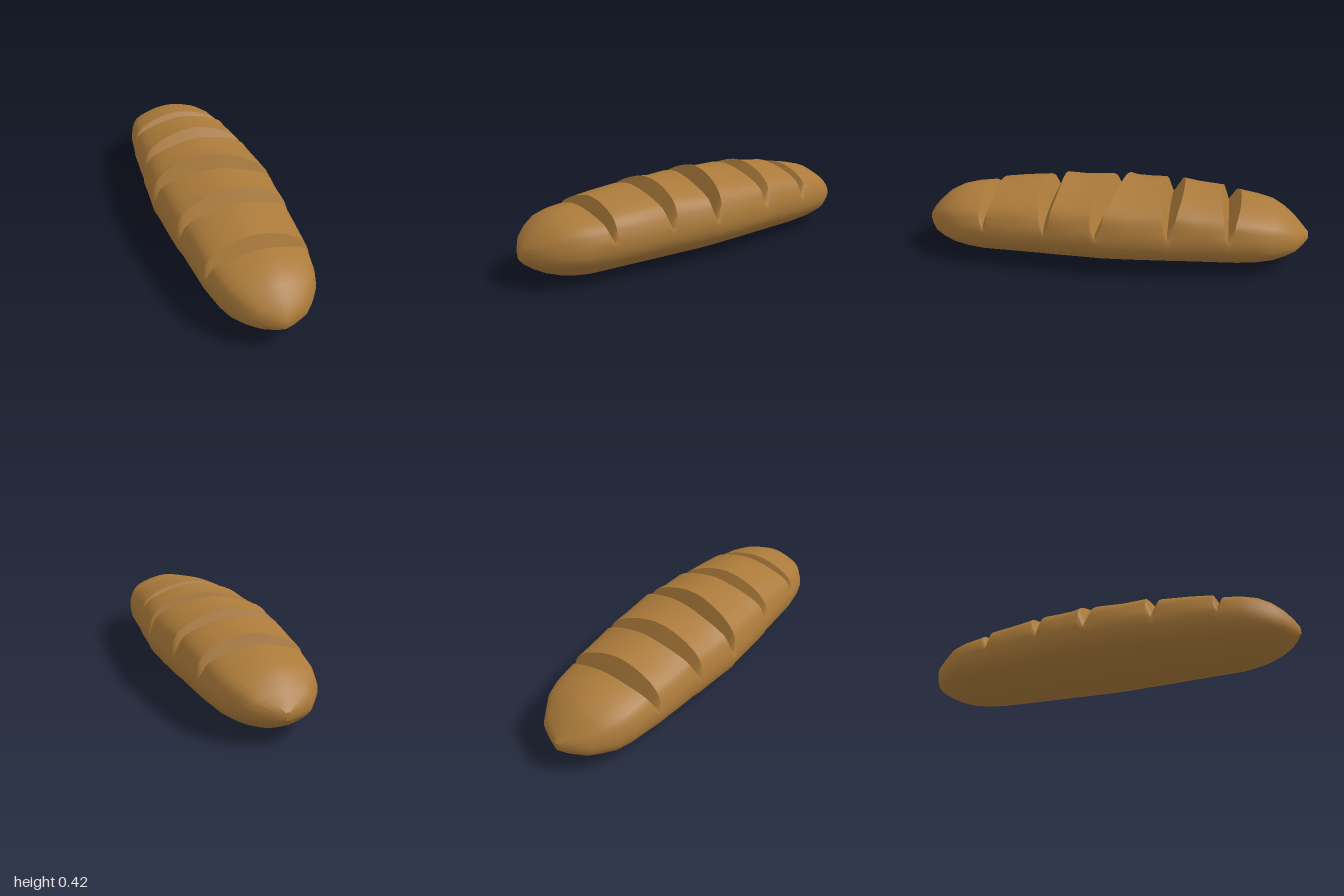
import * as THREE from 'three';
import { toCreasedNormals } from 'three/addons/utils/BufferGeometryUtils.js';

const crust = new THREE.MeshStandardMaterial({ color: 0xab7a3a });
crust.name = 'golden crust';

// Stations along the loaf: z, top height, and for slash edges the slash centre z
const stations = [
  [-1, 0.17], [-0.97, 0.2], [-0.93, 0.24], [-0.88, 0.285], [-0.82, 0.32], [-0.74, 0.34],
  [-0.65, 0.357, -0.59], [-0.59, 0.265, -0.59], [-0.55, 0.38, -0.59], [-0.48, 0.388],
  [-0.42, 0.395], [-0.36, 0.41, -0.29], [-0.29, 0.295, -0.29], [-0.245, 0.41, -0.29],
  [-0.17, 0.408], [-0.1, 0.41], [-0.045, 0.422, 0.025], [0.025, 0.265, 0.025], [0.08, 0.41, 0.025],
  [0.17, 0.402], [0.27, 0.412, 0.33], [0.33, 0.285, 0.33], [0.38, 0.395, 0.33],
  [0.5, 0.385], [0.61, 0.37, 0.65], [0.65, 0.265, 0.65], [0.69, 0.345, 0.65],
  [0.76, 0.34], [0.83, 0.325], [0.89, 0.295], [0.94, 0.25], [0.975, 0.21], [1, 0.17],
];

// Piecewise-linear lookup over [distance from middle, value] pairs
function lookup(table, d) {
  for (let i = 1; i < table.length; i++) {
    const [a, va] = table[i - 1], [b, vb] = table[i];
    if (d <= b) return THREE.MathUtils.lerp(va, vb, (d - a) / (b - a));
  }
  return table[table.length - 1][1];
}
const halfWidth = [[0, 0.322], [0.3, 0.297], [0.7, 0.26], [0.82, 0.225], [0.93, 0.15], [0.98, 0.065], [1, 0.02]];
const bottom = [[0, 0], [0.7, 0.006], [0.8, 0.022], [0.88, 0.048], [0.95, 0.085], [0.98, 0.108], [1, 0.13]];
const middle = [[0, 0.195], [0.7, 0.185], [1, 0.15]];

// Rounded cross-section, flatter over the top than a true ellipse
const half = [[0, -1], [0.35, -0.93], [0.82, -0.56], [0.96, -0.3], [1, 0], [0.97, 0.28], [0.85, 0.61], [0.46, 0.88], [0, 1]];
const outline = [...half, ...half.slice(1, -1).reverse().map(([x, y]) => [-x, y])];
const SIDES = 48;
const section = new THREE.CatmullRomCurve3(
  outline.map(([x, y]) => new THREE.Vector3(x, y, 0)), true).getPoints(SIDES).slice(0, SIDES);

function loafGeometry() {
  const pos = [], index = [];
  for (const [z, top, slash] of stations) {
    const d = Math.abs(z), w = lookup(halfWidth, d), low = lookup(bottom, d), mid = lookup(middle, d);
    for (const p of section) {
      const x = p.x * w;
      const y = mid + p.y * (p.y > 0 ? top - mid : mid - low);
      let pz = z;
      if (slash !== undefined) {
        // Slash lips close up towards the sides; the middle slash runs askew
        pz = slash + (z - slash) * (1 - 0.6 * Math.pow(Math.abs(p.x), 2.5));
        if (slash === 0.025) pz += 0.14 * x;
      }
      pos.push(x, y, pz);
    }
  }
  const rings = stations.length;
  for (let j = 0; j < rings - 1; j++) {
    for (let i = 0; i < SIDES; i++) {
      const k = (i + 1) % SIDES;
      const a = j * SIDES + i, b = j * SIDES + k, c = b + SIDES, e = a + SIDES;
      index.push(a, b, c, a, c, e);
    }
  }
  // Close both pointed ends
  const back = pos.length / 3, front = back + 1, last = (rings - 1) * SIDES;
  pos.push(0, 0.15, -1, 0, 0.15, 1);
  for (let i = 0; i < SIDES; i++) {
    const k = (i + 1) % SIDES;
    index.push(back, k, i, front, last + i, last + k);
  }
  const geo = new THREE.BufferGeometry();
  geo.setAttribute('position', new THREE.Float32BufferAttribute(pos, 3));
  geo.setIndex(index);
  return toCreasedNormals(geo, 0.7);
}

export function createModel() {
  const group = new THREE.Group();
  group.name = 'breadLoaf';
  const loaf = new THREE.Mesh(loafGeometry(), crust);
  loaf.name = 'slashedLoaf';
  group.add(loaf);
  return group;
}
